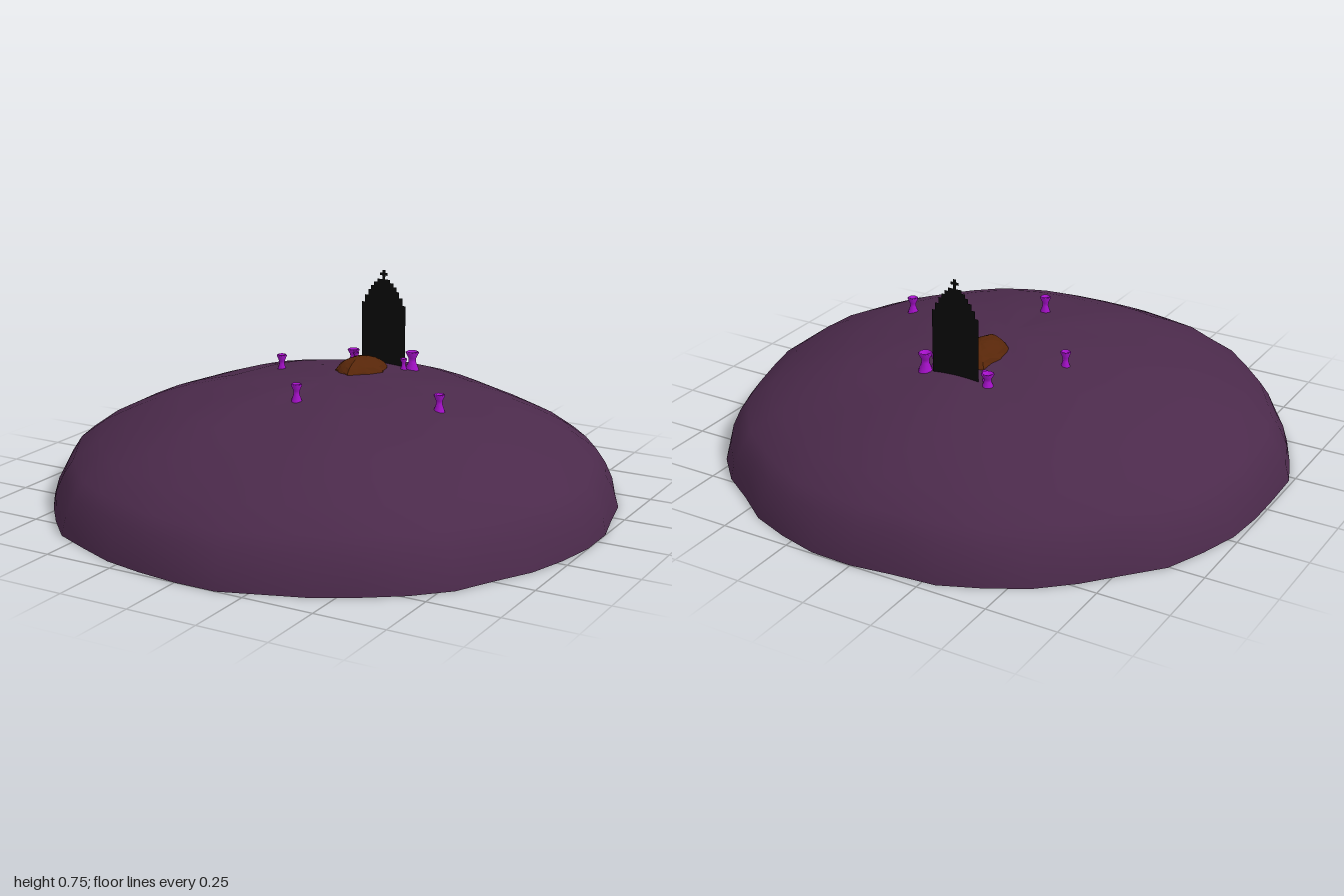
import * as THREE from 'three';
import { mergeVertices } from 'three/addons/utils/BufferGeometryUtils.js';

const material = (color) => new THREE.MeshStandardMaterial({ color, roughness: 0.9, side: THREE.DoubleSide });

function addMesh(parent, name, geometry, mat) {
  const mesh = new THREE.Mesh(geometry, mat);
  mesh.name = name;
  parent.add(mesh);
  return mesh;
}

// Moves every vertex by a rule, welds the seam and smooths the result
function reshape(geometry, rule) {
  const p = geometry.attributes.position;
  const v = new THREE.Vector3();
  for (let i = 0; i < p.count; i++) {
    v.fromBufferAttribute(p, i);
    rule(v);
    p.setXYZ(i, v.x, v.y, v.z);
  }
  geometry.deleteAttribute('uv');
  geometry.deleteAttribute('normal');
  const welded = mergeVertices(geometry, 1e-4);
  welded.computeVertexNormals();
  return welded;
}

const lathe = (points, sides) =>
  new THREE.LatheGeometry(points.map(([r, y]) => new THREE.Vector2(r, y)), sides);

// Broad open-bottomed hill with an uneven rim
function hillGeometry() {
  const profile = [[1, 0], [0.985, 0.06], [0.955, 0.12], [0.92, 0.17], [0.83, 0.235], [0.73, 0.285],
    [0.64, 0.325], [0.55, 0.355], [0.4, 0.392], [0.25, 0.413], [0.12, 0.423], [0, 0.426]];
  return reshape(lathe(profile, 42), (v) => {
    const r = Math.hypot(v.x, v.z);
    const a = Math.atan2(v.z, v.x);
    const wobble = 0.007 * Math.sin(9 * a + 1) + 0.006 * Math.sin(17 * a + 2 + v.y * 9);
    const s = 1 + wobble * r * r;
    v.x = THREE.MathUtils.clamp(v.x * s, -1, 1);
    v.z = THREE.MathUtils.clamp(v.z * s, -1, 1);
    v.y *= 1 + 0.02 * r * Math.sin(3 * a + 0.5) + 0.02 * r * Math.sin(7 * a);
  });
}

// Lumpy heap of earth in front of the headstone
function dirtGeometry() {
  const dome = new THREE.SphereGeometry(1, 18, 7, 0, Math.PI * 2, 0, Math.PI / 2);
  return reshape(dome, (v) => {
    const a = Math.atan2(v.z, v.x);
    const r = Math.hypot(v.x, v.z);
    const lump = 1 + r * (0.05 * Math.sin(5 * a + 1) + 0.05 * Math.sin(8 * a + v.y * 5));
    v.set(v.x * 0.086 * lump,
      0.385 + v.y * 0.08 * (1 + 0.05 * r * Math.sin(6 * a + v.y * 7)) + v.z * 0.012,
      -0.195 + v.z * 0.138 * lump);
  });
}

// Thin headstone with a stepped arch and a small cross on top
function headstoneGeometry() {
  const half = [[0.09, 0.38], [0.09, 0.625], [0.077, 0.625], [0.077, 0.652], [0.064, 0.652],
    [0.064, 0.674], [0.052, 0.674], [0.052, 0.69], [0.04, 0.69], [0.04, 0.704], [0.026, 0.704],
    [0.026, 0.716], [0.006, 0.716], [0.006, 0.73], [0.015, 0.73], [0.015, 0.74], [0.006, 0.74], [0.006, 0.75]];
  const mirrored = half.map(([x, y]) => [-x, y]).reverse();
  const shape = new THREE.Shape([...half, ...mirrored].map(([x, y]) => new THREE.Vector2(x, y)));
  return new THREE.ShapeGeometry(shape).translate(0, 0, -0.355);
}

export function createModel() {
  const model = new THREE.Group();
  model.name = 'graveOnHill';

  addMesh(model, 'hill', hillGeometry(), material(0x4b2a4b));
  addMesh(model, 'dirtHeap', dirtGeometry(), material(0x572609)).material.flatShading = true;
  addMesh(model, 'headstone', headstoneGeometry(), material(0x0a0a0a));

  // Small waisted flowers: x, base y, z, width scale, height scale
  const flower = lathe([[0.024, 0], [0.019, 0.02], [0.011, 0.042], [0.012, 0.054],
    [0.021, 0.074], [0.016, 0.078], [0.008, 0.066], [0, 0.064]], 10);
  const purple = material(0xa410c8);
  const spots = [
    [-0.28, 0.378, -0.1, 0.9, 1], [0.44, 0.37, 0.06, 0.95, 0.95], [0, 0.39, 0.26, 0.95, 1],
    [-0.125, 0.375, -0.355, 1.1, 0.85], [-0.103, 0.385, -0.335, 0.55, 0.65],
    [0.12, 0.38, -0.355, 1.2, 1.05], [0.103, 0.385, -0.32, 0.65, 0.72],
  ];
  const flowers = new THREE.Group();
  flowers.name = 'flowers';
  spots.forEach(([x, y, z, w, h], i) => {
    const mesh = addMesh(flowers, `flower${i + 1}`, flower, purple);
    mesh.position.set(x, y, z);
    mesh.scale.set(w, h, w);
  });
  model.add(flowers);
  return model;
}
